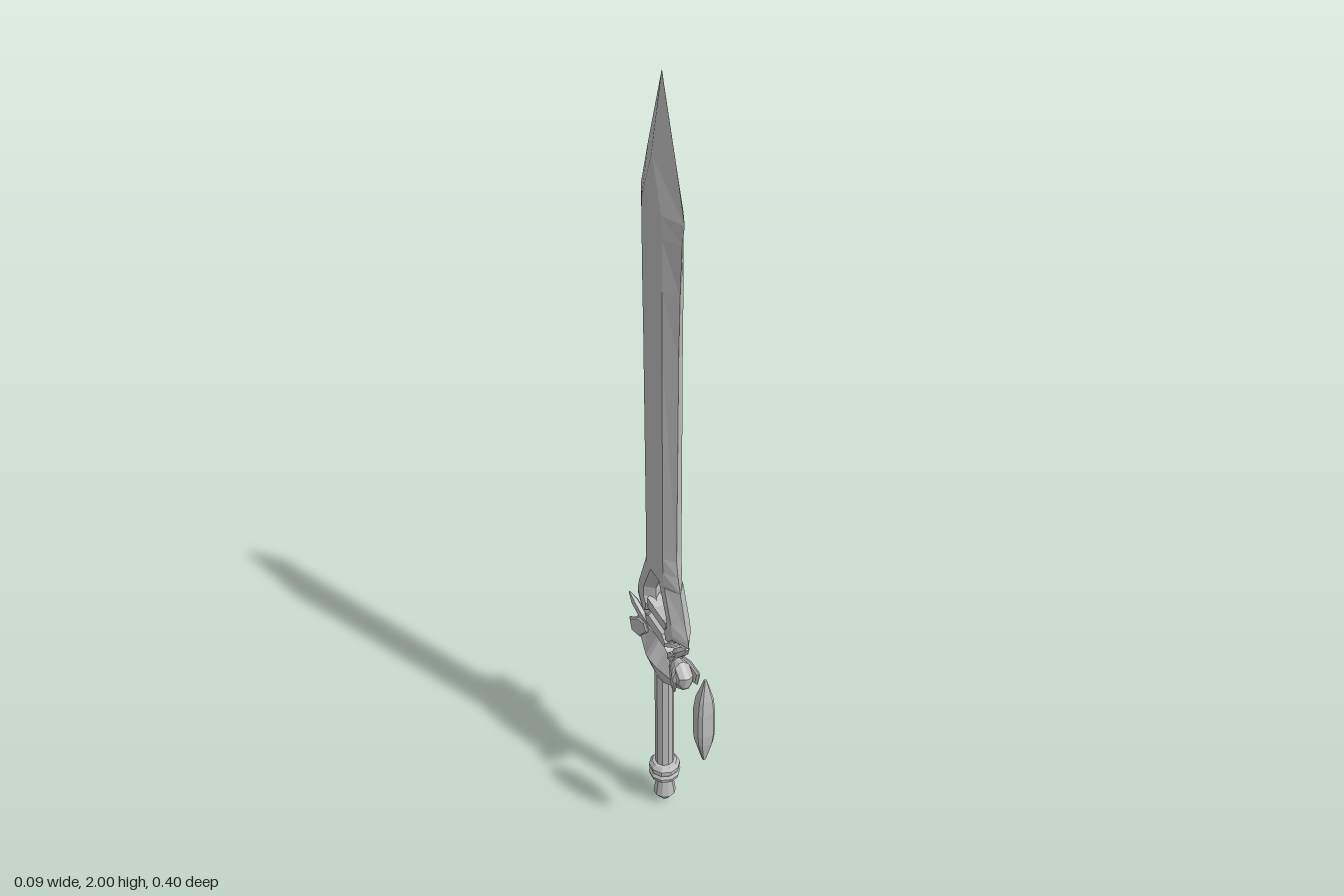
import * as THREE from 'three';

const steel = new THREE.MeshStandardMaterial({ color: 0xbdbdbd, flatShading: true });
steel.name = 'steel grey';

// Skins a row of equal-length rings of [x, y, z] and caps both ends
function loft(rings) {
  const pos = [];
  const n = rings[0].length;
  const tri = (a, b, c) => pos.push(...a, ...b, ...c);
  for (let i = 0; i < rings.length - 1; i++) {
    for (let j = 0; j < n; j++) {
      const k = (j + 1) % n;
      tri(rings[i][j], rings[i][k], rings[i + 1][k]);
      tri(rings[i][j], rings[i + 1][k], rings[i + 1][j]);
    }
  }
  const last = rings[rings.length - 1];
  for (let j = 1; j < n - 1; j++) {
    tri(rings[0][0], rings[0][j + 1], rings[0][j]);
    tri(last[0], last[j], last[j + 1]);
  }
  // Turn the faces outward if the enclosed volume is negative
  let volume = 0;
  const a = new THREE.Vector3(), b = new THREE.Vector3(), c = new THREE.Vector3();
  for (let i = 0; i < pos.length; i += 9) {
    a.fromArray(pos, i); b.fromArray(pos, i + 3); c.fromArray(pos, i + 6);
    volume += a.dot(b.cross(c));
  }
  if (volume < 0) {
    for (let i = 0; i < pos.length; i += 9) {
      for (let k = 0; k < 3; k++) [pos[i + 3 + k], pos[i + 6 + k]] = [pos[i + 6 + k], pos[i + 3 + k]];
    }
  }
  const geo = new THREE.BufferGeometry();
  geo.setAttribute('position', new THREE.Float32BufferAttribute(pos, 3));
  geo.computeVertexNormals();
  return geo;
}

// Bevelled plate: outline of [z, y] at x = 0, shrunken outline at x = +-t
function slab(outline, t, inset = 0.75) {
  const cz = outline.reduce((s, p) => s + p[0], 0) / outline.length;
  const cy = outline.reduce((s, p) => s + p[1], 0) / outline.length;
  const ring = (x, f) => outline.map(([z, y]) => [x, cy + (y - cy) * f, cz + (z - cz) * f]);
  return loft([ring(-t, inset), ring(-t * 0.3, 1), ring(t * 0.3, 1), ring(t, inset)]);
}

// Faceted shard between two points
function shard(from, to, rx, rz) {
  const a = new THREE.Vector3(...from), b = new THREE.Vector3(...to);
  const length = a.distanceTo(b);
  const rings = [[0, 0.25], [0.3, 1], [0.7, 0.95], [1, 0.2]].map(([v, f]) =>
    Array.from({ length: 6 }, (_, i) => {
      const t = (i / 6) * Math.PI * 2;
      return [Math.cos(t) * rx * f, v * length, Math.sin(t) * rz * f];
    }));
  const geo = loft(rings);
  const q = new THREE.Quaternion().setFromUnitVectors(new THREE.Vector3(0, 1, 0), b.clone().sub(a).normalize());
  return geo.applyQuaternion(q).translate(a.x, a.y, a.z);
}

export function createModel() {
  const model = new THREE.Group();
  const sword = new THREE.Group();
  sword.name = 'sword';
  sword.position.z = -0.047;
  model.add(sword);
  const add = (name, geo, parent = sword) => {
    const mesh = new THREE.Mesh(geo, steel);
    mesh.name = name;
    parent.add(mesh);
    return mesh;
  };

  // Blade: six-sided sections [y, edge, ridge, half thickness]
  const blade = [
    [2, 0.0005, 0.0002, 0.0005], [1.83, 0.066, 0.002, 0.023], [1.72, 0.105, 0.048, 0.024],
    [1.67, 0.094, 0.05, 0.024], [1.55, 0.085, 0.05, 0.024], [1.4, 0.079, 0.048, 0.024],
    [0.85, 0.071, 0.046, 0.024], [0.81, 0.079, 0.048, 0.024], [0.77, 0.092, 0.05, 0.024],
  ];
  add('blade', loft(blade.map(([y, e, r, t]) =>
    [[0, y, e], [t, y, r], [t, y, -r], [0, y, -e], [-t, y, -r], [-t, y, r]])));

  // Forked base of the blade around the opening: [y, inner, outer]
  const arm = [[0.77, 0, 0.092], [0.685, 0.046, 0.122], [0.655, 0.044, 0.137], [0.64, 0.025, 0.139], [0.615, 0.05, 0.085]];
  for (const s of [1, -1]) {
    add('bladeFork', loft(arm.map(([y, i, o]) => {
      const m = i + (o - i) * 0.25, k = i + (o - i) * 0.6, t = 0.024;
      return [[0, y, s * o], [t, y, s * k], [t, y, s * m], [0, y, s * i], [-t, y, s * m], [-t, y, s * k]];
    })));
  }
  add('openingBase', slab([[-0.06, 0.66], [-0.025, 0.645], [0.025, 0.645], [0.06, 0.66], [0.06, 0.627], [-0.06, 0.627]], 0.02, 0.85));
  add('collar', slab([[-0.06, 0.582], [0.06, 0.582], [0.066, 0.6], [0.045, 0.617], [-0.045, 0.617], [-0.066, 0.6]], 0.024, 0.85));

  // Guard: rectangular sections [z, bottom, top, half thickness]
  const guard = [
    [-0.125, 0.5, 0.525, 0.016], [-0.085, 0.477, 0.535, 0.024], [-0.034, 0.45, 0.555, 0.037], [-0.008, 0.45, 0.574, 0.045],
    [0.008, 0.45, 0.574, 0.045], [0.034, 0.45, 0.555, 0.037], [0.085, 0.477, 0.535, 0.024], [0.125, 0.5, 0.525, 0.016],
  ];
  add('guard', loft(guard.map(([z, lo, hi, t]) => {
    const mid = lo + (hi - lo) * 0.55;
    return [[t * 0.45, lo, z], [t, mid, z], [t * 0.3, hi, z], [-t * 0.3, hi, z], [-t, mid, z], [-t * 0.45, lo, z]];
  })));

  // Guard tips: a core block with two splayed plates on each end
  for (const s of [1, -1]) {
    add('guardTip', slab([[0.075, 0.56], [0.1, 0.565], [0.135, 0.54], [0.128, 0.505], [0.095, 0.5]]
      .map(([z, y]) => [s * z, y]), 0.018, 0.7));
    for (const side of [1, -1]) {
      const plate = slab([[-0.03, 0.535], [-0.02, 0.56], [0.005, 0.56], [0.04, 0.54], [0.032, 0.503], [0, 0.5]]
        .map(([z, y]) => [s * z, y]), 0.005, 0.85);
      const mesh = add('guardPlate', plate);
      mesh.position.set(side * 0.021, 0, s * 0.094);
      mesh.rotation.y = side * s * 0.3;
    }
  }

  // Shards between guard and blade
  add('backShard', shard([0.004, 0.565, -0.07], [0.008, 0.638, -0.15], 0.02, 0.02));
  add('backSideShard', shard([-0.02, 0.575, -0.055], [-0.041, 0.64, -0.112], 0.01, 0.017));
  add('backLeftShard', shard([0.016, 0.56, -0.075], [0.024, 0.61, -0.125], 0.01, 0.014));
  add('frontShard', shard([0, 0.56, 0.06], [0, 0.632, 0.13], 0.018, 0.014));
  add('frontSideShard', shard([-0.016, 0.555, 0.06], [-0.025, 0.605, 0.11], 0.008, 0.013));

  // Grip and pommel
  const grip = new THREE.CylinderGeometry(0.024, 0.024, 0.34, 10);
  add('grip', grip.translate(0, 0.305, 0));
  const profile = [[0, 0], [0.012, 0.012], [0.029, 0.035], [0.022, 0.085], [0.03, 0.092], [0.038, 0.098],
    [0.041, 0.11], [0.036, 0.118], [0.04, 0.126], [0.04, 0.136], [0.032, 0.146], [0.022, 0.148]];
  add('pommel', new THREE.LatheGeometry(profile.map(([r, y]) => new THREE.Vector2(r, y)), 10));

  // Floating crystal: chamfered square sections [y, half width, z shift]
  const crystal = [[0.36, 0.004, 0.006], [0.42, 0.019, 0], [0.45, 0.022, 0], [0.52, 0.022, 0], [0.56, 0.018, 0.002], [0.617, 0.003, 0.008]];
  add('floatingCrystal', loft(crystal.map(([y, w, d]) => {
    const c = w * 0.65, z = 0.177 + d * 0.5;
    return [[w, y, z - c], [w, y, z + c], [c, y, z + w], [-c, y, z + w],
      [-w, y, z + c], [-w, y, z - c], [-c, y, z - w], [c, y, z - w]];
  })), model);

  return model;
}
